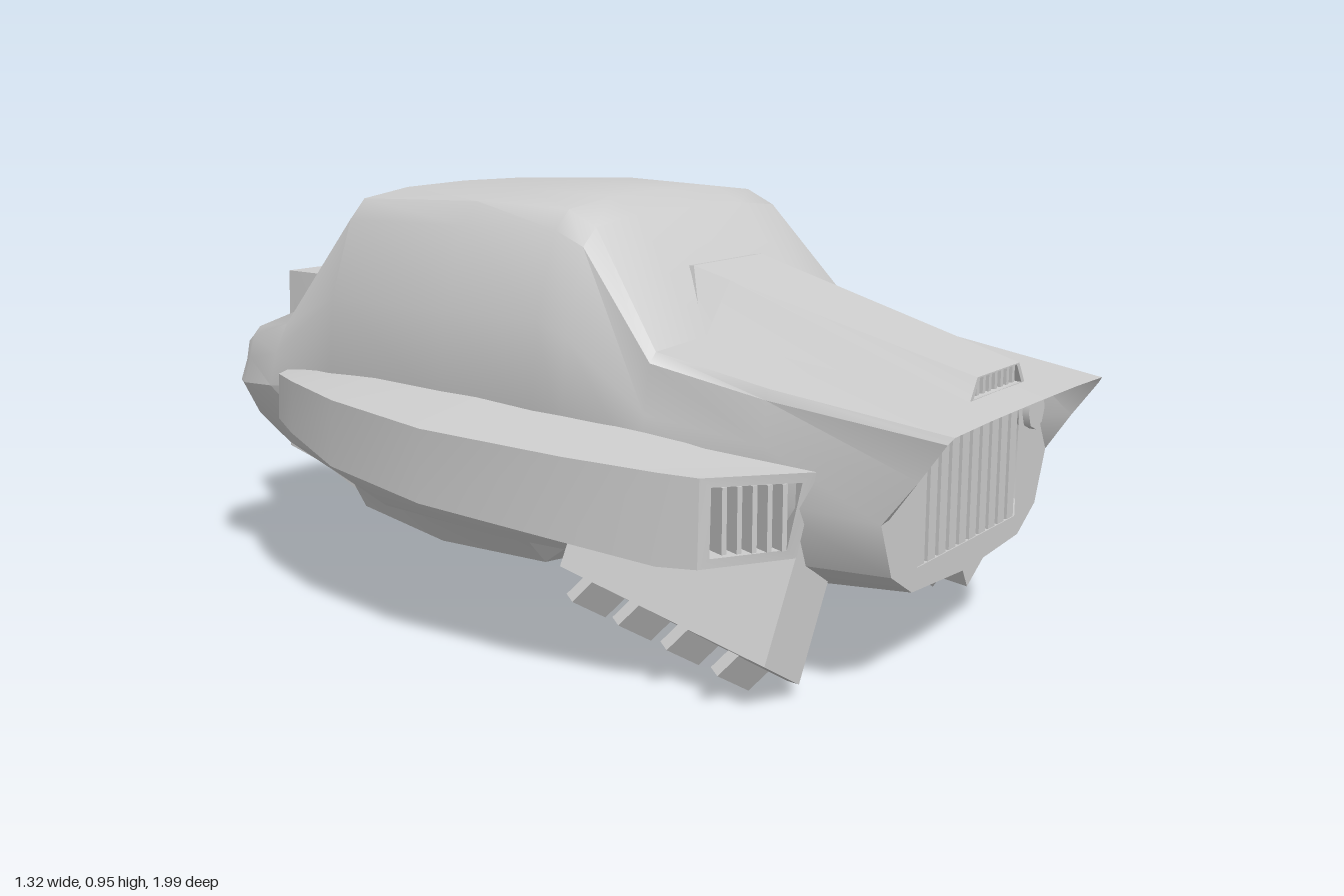
import * as THREE from 'three';
import { toCreasedNormals } from 'three/addons/utils/BufferGeometryUtils.js';

const solid = new THREE.MeshStandardMaterial({ color: 0xcccccc });
const open = new THREE.MeshStandardMaterial({ color: 0xcccccc, side: THREE.DoubleSide });
const V = (x, y, z) => new THREE.Vector3(x, y, z);
const { lerp } = THREE.MathUtils;

function add(parent, name, geo, mat = solid) {
  const mesh = new THREE.Mesh(geo, mat);
  mesh.name = name;
  parent.add(mesh);
  return mesh;
}

const box = (w, h, d, x, y, z) => new THREE.BoxGeometry(w, h, d).translate(x, y, z);

// Full ring from a half outline (top to bottom); z is a function of y or a number
function sym(half, z) {
  const at = (x, y) => V(x, y, typeof z === 'function' ? z(y) : z);
  const right = half.map(([x, y]) => at(x, y));
  const left = half.filter(p => p[0] > 0).reverse().map(([x, y]) => at(-x, y));
  return [...right, ...left];
}

const centre = ring => ring.reduce((a, p) => a.add(p), V(0, 0, 0)).divideScalar(ring.length);

// Rings for a recessed opening: inset rim, then its floor
function recess(ring, k, depth) {
  const c = centre(ring);
  const rim = ring.map(p => p.clone().lerp(c, k));
  return [rim, rim.map(p => p.clone().add(depth))];
}

// Skin a row of rings, facing outward
function loft(rings, crease = 0.3, capStart = true) {
  const tris = [];
  const n = rings[0].length;
  for (let i = 0; i + 1 < rings.length; i++) {
    for (let j = 0; j < n; j++) {
      const k = (j + 1) % n;
      const [a, b, c, d] = [rings[i][j], rings[i][k], rings[i + 1][k], rings[i + 1][j]];
      tris.push([a, b, c], [a, c, d]);
    }
  }
  const cap = (ring, flip) => {
    const c = centre(ring);
    ring.forEach((p, j) => {
      const q = ring[(j + 1) % n];
      tris.push(flip ? [c, q, p] : [c, p, q]);
    });
  };
  if (capStart) cap(rings[0], true);
  cap(rings[rings.length - 1], false);
  const mid = centre(rings.flat());
  const volume = tris.reduce((s, [a, b, c]) => s + a.clone().sub(mid).dot(
    b.clone().sub(mid).cross(c.clone().sub(mid))), 0);
  const pts = tris.flatMap(([a, b, c]) => (volume < 0 ? [a, c, b] : [a, b, c]));
  return toCreasedNormals(new THREE.BufferGeometry().setFromPoints(pts), crease);
}

// Overhanging lip of the nose: z of its rim at height y
const noseZ = y => 0.86 + Math.max(0, y - 0.38) * 0.72;

// Hull half outline: rounded top edge, bulging waist, tucked-in keel
function hullOutline(top, roof, drop, waist, waistY, keel, keelY) {
  const edgeY = top - drop;
  return [
    [0, top], [roof * 0.58, top - drop * 0.06], [roof, top - drop * 0.33],
    [lerp(roof, waist, 0.35), edgeY], [waist - 0.02, lerp(edgeY, waistY, 0.47)],
    [waist, waistY], [lerp(keel, waist, 0.65), lerp(waistY, keelY, 0.63)],
    [keel, keelY + 0.015], [0, keelY],
  ];
}

function buildBody(g) {
  // z, then top, roof half, edge drop, waist half and height, keel half and height
  const stations = [
    [noseZ, .565, .36, .02, .385, .38, .25, .2],
    [.62, .62, .395, .03, .43, .4, .27, .185],
    [.36, .665, .4, .03, .46, .42, .28, .16],
    [.17, .905, .345, .055, .47, .47, .29, .15],
    [.1, .94, .345, .06, .475, .5, .29, .15],
    [-.15, .95, .35, .075, .48, .5, .3, .15],
    [-.5, .935, .34, .065, .47, .5, .3, .165],
    [-.72, .65, .36, .04, .45, .47, .3, .24],
    [-.84, .6, .37, .03, .425, .46, .3, .33],
    [-.88, .57, .355, .02, .4, .46, .28, .35],
  ];
  const rings = stations.map(([z, ...size]) => sym(hullOutline(...size), z));
  const inner = recess(rings[0], .08, V(0, 0, 0))[0].map(p => V(p.x, p.y, .86));
  add(g, 'body', loft([inner, ...rings], 0.6, false), open);

  // Upright nose panel set behind the lip, with the grille opening
  const panel = new THREE.Shape(inner.map(p => new THREE.Vector2(p.x, p.y)));
  panel.holes.push(new THREE.Path([[-.23, .26], [-.23, .5], [.23, .5], [.23, .26]]
    .map(p => new THREE.Vector2(...p))));
  add(g, 'nosePanel', new THREE.ExtrudeGeometry(panel, { depth: .05, bevelEnabled: false })
    .translate(0, 0, .81));
  add(g, 'grilleBack', box(.5, .27, .02, 0, .38, .805));
  for (let i = 0; i < 10; i++) {
    add(g, 'grilleBar', box(.032, .24, .045, (i - 4.5) * .047, .38, .835));
  }
  for (const s of [-1, 1]) {
    add(g, 'headlight', new THREE.CylinderGeometry(.043, .043, .03, 8)
      .rotateX(Math.PI / 2).translate(s * .29, .485, .86));
  }
}

function buildScoop(g) {
  const front = sym([[.1, .62], [.13, .575]], .91);
  const [rim, floor] = recess(front, .12, V(0, 0, -.04));
  add(g, 'hoodScoop', loft([floor, rim, front,
    sym([[.132, .77], [.235, .645]], .36), sym([[.135, .795], [.22, .63]], .27),
    sym([[.13, .79], [.2, .63]], .2)]));
  for (let i = -3; i <= 3; i++) {
    add(g, 'scoopTooth', box(.012, .034, .03, i * .028, .598, .89));
  }
}

function buildUnderside(g) {
  // Belly fairing under the cabin
  add(g, 'belly', loft([
    sym([[.28, .24], [.28, .185], [.18, .16], [0, .15]], 0),
    sym([[.29, .24], [.28, .18], [.19, .085], [0, .065]], -.1),
    sym([[.29, .26], [.28, .19], [.19, .08], [0, .057]], -.42),
    sym([[.28, .32], [.27, .26], [.19, .125], [0, .1]], -.68),
  ]));
  // Open exhaust duct up the tail
  const mouth = sym([[.125, .69], [.145, .23], [0, .2]], -1);
  const [rim, floor] = recess(mouth, .1, V(0, 0, .11));
  add(g, 'exhaustDuct', loft([
    sym([[.13, .6], [.2, .15], [0, .12]], -.66),
    sym([[.13, .69], [.155, .2], [0, .165]], -.86), mouth, rim, floor]));
  add(g, 'ductHousing', loft([
    sym([[.135, .725], [.14, .5]], -.665),
    sym([[.13, .712], [.165, .5]], -.82),
    sym([[.13, .71], [.15, .45]], -.865)]));
}

function buildSide(g) {
  // Side pod with an opening at both ends
  const front = [V(.4, .465, .73), V(.57, .465, .58), V(.575, .29, .58), V(.4, .29, .69)];
  const back = [V(.4, .52, -.67), V(.48, .51, -.655), V(.485, .405, -.655), V(.38, .38, -.67)];
  // z, inner top y, outer x, outer top y, outer bottom y, inner bottom y
  const mid = [
    [.5, .485, .59, .468, .288, .268],
    [.3, .51, .63, .478, .312, .268],
    [-.05, .535, .65, .49, .335, .28],
    [-.35, .54, .605, .505, .36, .31],
    [-.55, .53, .535, .512, .395, .35],
  ].map(([z, top, x, outTop, outLow, low]) =>
    [V(.435, top, z), V(x, outTop, z), V(x + .008, outLow, z), V(.41, low, z)]);
  const [fRim, fFloor] = recess(front, .22, V(-.03, 0, -.05));
  const [bRim, bFloor] = recess(back, .2, V(0, 0, .04));
  add(g, 'sidePod', loft([fFloor, fRim, front, ...mid, back, bRim, bFloor], 0.35));
  for (let i = 1; i <= 5; i++) {
    const p = fRim[0].clone().lerp(fRim[1], i / 6);
    const slat = add(g, 'intakeSlat', new THREE.BoxGeometry(.011, .13, .04));
    slat.position.set(p.x - .01, .378, p.z - .024);
    slat.rotation.y = .4;
  }

  // Splayed lift thruster with a slanted, recessed outlet
  const thruster = new THREE.Group();
  thruster.name = 'thruster';
  thruster.position.set(.345, .24, 0);
  thruster.rotation.z = Math.PI / 6;
  g.add(thruster);
  const ring = (yFront, yBack) => [V(-.075, yFront, .69), V(.075, yFront, .69),
    V(.075, yBack, .16), V(-.075, yBack, .16)];
  const outlet = ring(-.2, -.1);
  const rim = outlet.map(p => V(p.x * .8, p.y, .425 + (p.z - .425) * .93));
  const floor = rim.map(p => p.clone().add(V(0, .04, 0)));
  add(thruster, 'thrusterHousing', loft([ring(.1, .1), outlet, rim, floor]));
  for (let i = 0; i < 4; i++) {
    const z = .61 - i * .127;
    const fin = add(thruster, 'thrusterFin', new THREE.BoxGeometry(.13, .1, .024));
    fin.position.set(0, -.204 + (.69 - z) * .19, z);
    fin.rotation.x = .6;
  }
}

export function createModel() {
  const model = new THREE.Group();
  model.name = 'hoverVehicle';
  buildBody(model);
  buildScoop(model);
  buildUnderside(model);
  for (const s of [1, -1]) {
    const side = new THREE.Group();
    side.name = s > 0 ? 'leftSide' : 'rightSide';
    side.scale.x = s;
    buildSide(side);
    model.add(side);
  }
  return model;
}
